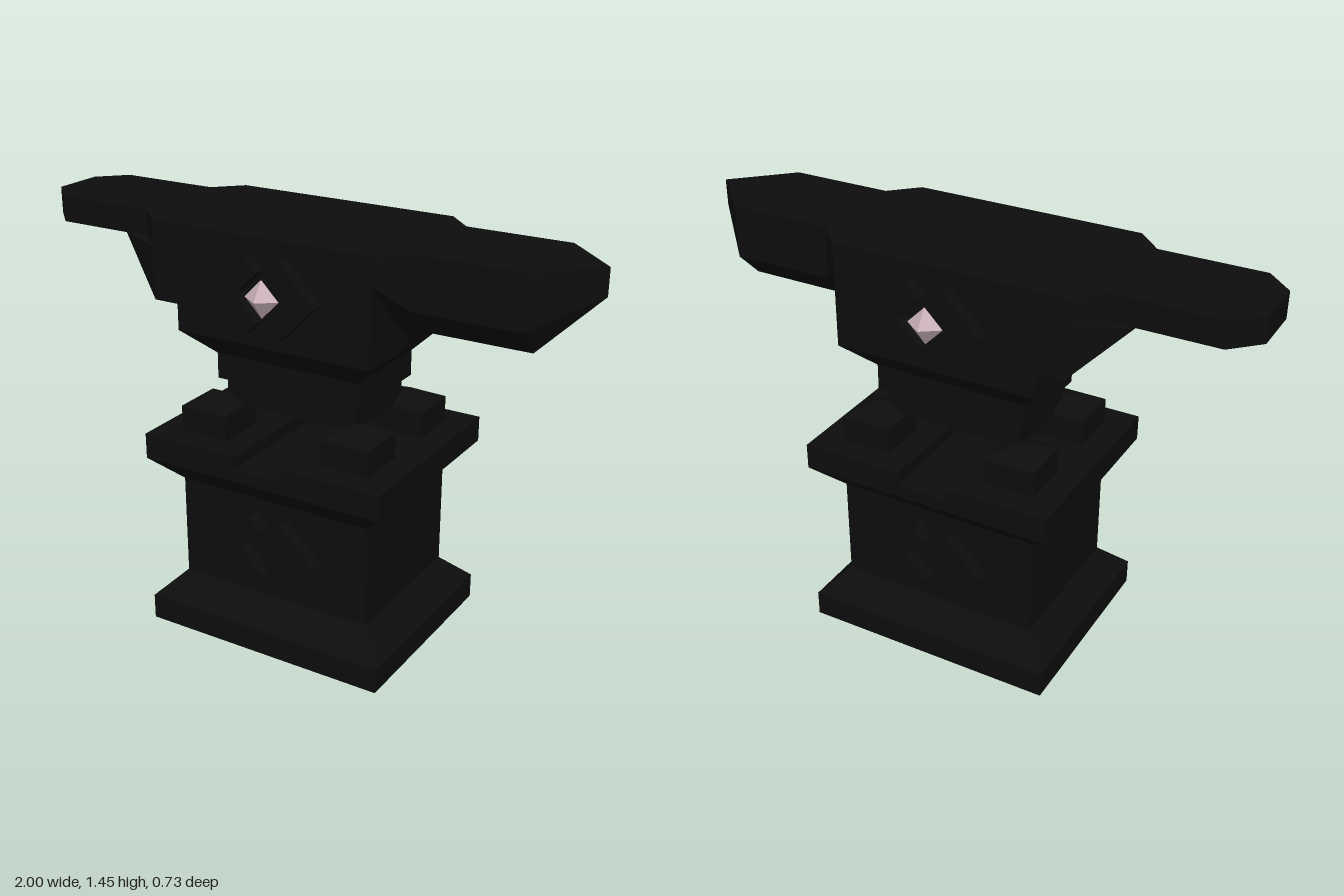
import * as THREE from 'three';
import { ConvexGeometry } from 'three/addons/geometries/ConvexGeometry.js';

const U = 1 / 11; // design unit: every main size is a multiple of it

export function createModel() {
  const root = new THREE.Group();
  root.name = 'anvilOnPedestal';

  const iron = new THREE.MeshStandardMaterial({ color: 0x0d0d0d, flatShading: true });
  iron.name = 'blackIron';
  const crystal = new THREE.MeshStandardMaterial({ color: 0xcbb2b8, flatShading: true });
  crystal.name = 'palePinkCrystal';

  function add(name, geometry, material = iron, parent = root) {
    const mesh = new THREE.Mesh(geometry, material);
    mesh.name = name;
    parent.add(mesh);
    return mesh;
  }

  // Box from its limits, in units
  function block(name, x0, x1, y0, y1, z0, z1) {
    const g = new THREE.BoxGeometry((x1 - x0) * U, (y1 - y0) * U, (z1 - z0) * U);
    g.translate((x0 + x1) * U / 2, (y0 + y1) * U / 2, (z0 + z1) * U / 2);
    return add(name, g);
  }

  // Convex solid from points in units; points off the middle are mirrored in z
  function hull(name, points) {
    const pts = [];
    for (const [x, y, z] of points) {
      pts.push(new THREE.Vector3(x * U, y * U, z * U));
      if (z !== 0) pts.push(new THREE.Vector3(x * U, y * U, -z * U));
    }
    return add(name, new ConvexGeometry(pts));
  }

  // Tapered rectangular block: [y, half width, half depth] at bottom and top
  function taper(name, [y0, a0, b0], [y1, a1, b1]) {
    return hull(name, [[-a0, y0, b0], [a0, y0, b0], [-a1, y1, b1], [a1, y1, b1]]);
  }

  // Pedestal: foot, column and flared cap
  taper('pedestalFoot', [0, 5, 4], [1, 5, 4]);
  taper('pedestalFootSlope', [1, 5, 4], [2, 4, 3]);
  taper('pedestalColumn', [2, 4, 3], [6, 4, 3]);
  taper('pedestalCapFlare', [6, 4, 3], [7, 5, 4]);
  taper('pedestalCap', [7, 5, 4], [7.5, 5, 4]);

  // Cap top in two halves, leaving a groove from front to back
  block('capTopRight', -5, -1, 7.5, 8, -4, 4);
  block('capTopLeft', 1, 5, 7.5, 8, -4, 4);

  // Four corner studs with pyramid tops
  for (const sx of [-1, 1]) for (const sz of [-1, 1]) {
    const pts = [new THREE.Vector3(3 * sx * U, 9.5 * U, 2 * sz * U)];
    for (const x of [2, 4]) for (const z of [1, 3]) for (const y of [8, 9]) {
      pts.push(new THREE.Vector3(x * sx * U, y * U, z * sz * U));
    }
    add('cornerStud', new ConvexGeometry(pts));
  }

  // Anvil waist
  taper('anvilBase', [9, 2.75, 1.75], [10, 2.75, 1.75]);
  taper('anvilWaist', [10, 3, 2], [11, 3, 2]);
  taper('anvilFlare', [11, 3, 2], [12, 4, 3]);

  // Anvil body and working face
  taper('anvilBody', [12, 4, 3], [16, 4, 3]);
  hull('heelShoulder', [
    [-6, 16, 2], [-5, 16, 3], [-4, 16, 3],
    [-6, 15, 2], [-5, 15, 3], [-4, 15, 3],
  ]);
  hull('heelBrace', [
    [-7, 15, 2], [-6, 15, 2], [-5, 15, 3], [-5, 13, 3], [-4, 15, 3], [-4, 13, 3],
  ]);
  hull('heel', [
    [-11, 16, 1], [-10, 16, 2], [-5, 16, 2],
    [-11, 15, 1], [-10, 15, 2], [-5, 15, 2],
  ]);

  // Horn: shoulder, keel-shaped beam and pointed tip
  const hornSection = (x) => [[x, 16, 2], [x, 14, 2], [x, 13, 1]];
  hull('hornShoulder', [[4, 16, 3], [4, 15, 3], [4, 12, 0], ...hornSection(5)]);
  hull('hornBeam', [...hornSection(5), ...hornSection(9)]);
  hull('hornTip', [...hornSection(9), [11, 16, 0], [11, 15, 0]]);

  // Raised chevron pairs on front and back, with a crystal between the upper ones
  const chevron = new THREE.Shape([
    [2.1, 0], [0.7, 1.4], [0.2, 0.9], [1.1, 0], [0.2, -0.9], [0.7, -1.4],
  ].map(([x, y]) => new THREE.Vector2(x * U, y * U)));
  const chevronGeo = new THREE.ExtrudeGeometry(chevron, { depth: 0.5 * U, bevelEnabled: false });
  const chevronFlip = chevronGeo.clone().rotateZ(Math.PI);
  const gemGeo = new THREE.OctahedronGeometry(0.7 * U).scale(1, 1, 0.5 / 0.7);

  for (const turn of [0, Math.PI]) {
    const side = new THREE.Group();
    side.name = turn ? 'backOrnament' : 'frontOrnament';
    side.rotation.y = turn;
    root.add(side);
    for (const y of [4, 14]) {
      for (const g of [chevronGeo, chevronFlip]) {
        add('chevron', g, iron, side).position.set(0, y * U, 3 * U);
      }
    }
    add('crystal', gemGeo, crystal, side).position.set(0, 14 * U, 3.5 * U);
  }

  return root;
}
